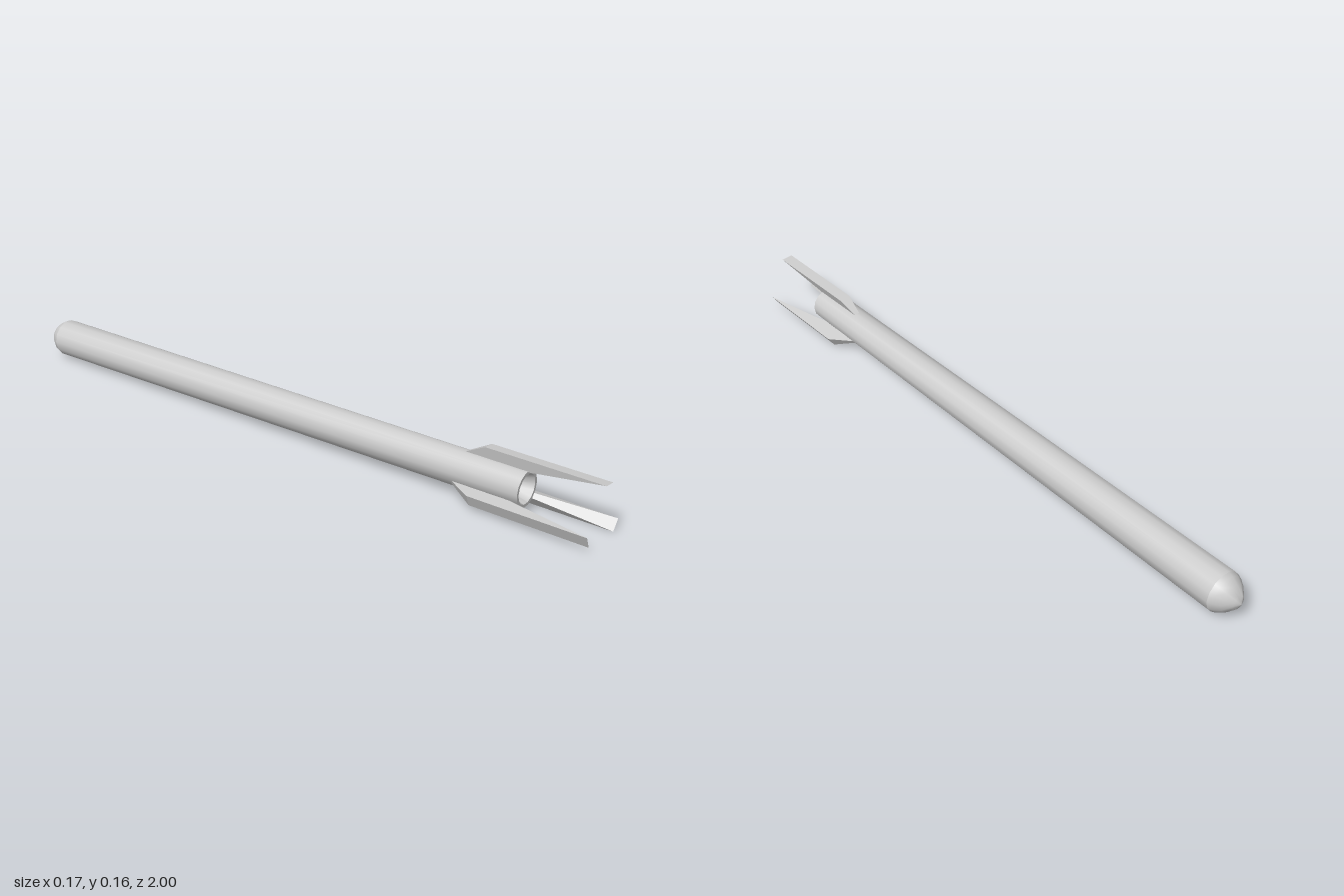
import * as THREE from 'three';
import { toCreasedNormals } from 'three/addons/utils/BufferGeometryUtils.js';

const SIDES = 14;
const material = new THREE.MeshStandardMaterial({ color: 0xcccccc });

// Turned part along z from [radius, z] points; its axis rises slightly towards the rear.
function turned(name, profile) {
  const points = profile.map(([r, z]) => new THREE.Vector2(r, z));
  const geometry = new THREE.LatheGeometry(points, SIDES, Math.PI / SIDES);
  geometry.rotateX(Math.PI / 2);
  const p = geometry.attributes.position;
  for (let i = 0; i < p.count; i++) {
    const t = (p.getZ(i) + 0.94) / 1.725;
    p.setX(i, p.getX(i) + 0.002 * (1 - t));
    p.setY(i, p.getY(i) + 0.068 + 0.008 * t);
  }
  const mesh = new THREE.Mesh(toCreasedNormals(geometry, 0.6), material);
  mesh.name = name;
  return mesh;
}

// Swept fin whose thickness grows from root to tip.
function finGeometry() {
  const outline = [[0.58, 0.045], [0.74, 0.045], [0.785, 0.054], [1, 0.088], [0.66, 0.088]];
  const shape = new THREE.Shape(outline.map(([z, r]) => new THREE.Vector2(z, r)));
  const geometry = new THREE.ExtrudeGeometry(shape, { depth: 2, bevelEnabled: false });
  geometry.translate(0, 0, -1);
  geometry.rotateY(-Math.PI / 2);
  const p = geometry.attributes.position;
  for (let i = 0; i < p.count; i++) {
    const halfWidth = 0.008 + 0.3 * (p.getY(i) - 0.055);
    p.setX(i, p.getX(i) * halfWidth);
  }
  geometry.computeVertexNormals();
  return geometry;
}

export function createModel() {
  const group = new THREE.Group();
  group.name = 'rocket';

  // Body, from the rounded nose to the rear rim
  group.add(turned('noseCap', [[0, -1], [0.019, -0.991], [0.041, -0.971], [0.053, -0.953], [0.058, -0.94]]));
  group.add(turned('bodyTube', [[0.058, -0.94], [0.051, 0.785]]));
  group.add(turned('rearRim', [[0.051, 0.785], [0.042, 0.785]]));

  // Conical recess with the small nozzle at its centre
  group.add(turned('exhaustCone', [[0.042, 0.785], [0.014, 0.70], [0, 0.70]]));
  group.add(turned('nozzle', [[0.015, 0.69], [0.015, 0.75], [0.008, 0.75], [0.008, 0.735], [0, 0.735]]));

  // Three fins, evenly spaced
  const geometry = finGeometry();
  for (let i = 0; i < 3; i++) {
    const fin = new THREE.Mesh(geometry, material);
    fin.name = `fin${i + 1}`;
    fin.position.set(0.002, 0.069, 0);
    fin.rotation.z = -0.106 + (i * Math.PI * 2) / 3;
    group.add(fin);
  }
  return group;
}
